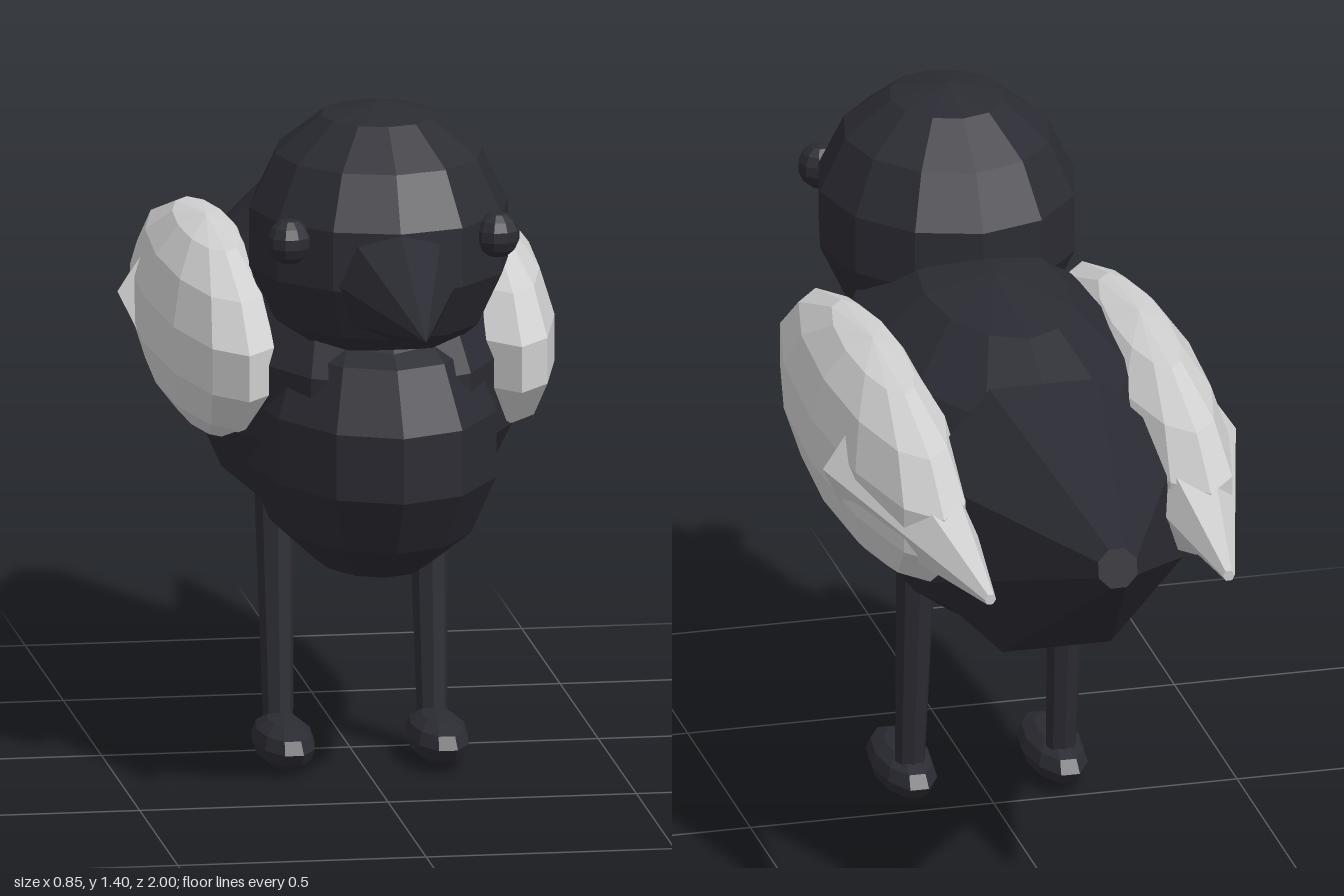
import * as THREE from 'three';

export function createModel() {
  const bird = new THREE.Group();
  bird.name = 'bird';

  const charcoal = new THREE.MeshStandardMaterial({ color: 0x2b2b33, flatShading: true });
  charcoal.name = 'charcoal';
  const paleGrey = new THREE.MeshStandardMaterial({ color: 0xd0d0d0, flatShading: true });
  paleGrey.name = 'paleGrey';

  const add = (name, geometry, material) => {
    const mesh = new THREE.Mesh(geometry, material);
    mesh.name = name;
    bird.add(mesh);
    return mesh;
  };

  // faceted ellipsoid
  const ellipsoid = (name, material, centre, radii, around = 12, rings = 7) => {
    const geometry = new THREE.SphereGeometry(1, around, rings).scale(...radii);
    return add(name, geometry.translate(...centre), material);
  };

  // tapered prism running from point a to point b; spin turns its sides about the axis
  const taper = (name, material, a, b, ra, rb, sides, spin = 0) => {
    const from = new THREE.Vector3(...a);
    const to = new THREE.Vector3(...b);
    const length = from.distanceTo(to);
    const geometry = new THREE.CylinderGeometry(rb, ra, length, sides).rotateY(spin);
    geometry.translate(0, length / 2, 0);
    const mesh = add(name, geometry, material);
    const axis = to.sub(from).normalize();
    mesh.quaternion.setFromUnitVectors(new THREE.Vector3(0, 1, 0), axis);
    mesh.position.copy(from);
    return mesh;
  };

  // body, breast and head
  ellipsoid('body', charcoal, [0, 0.8, 0], [0.33, 0.35, 0.64]);
  ellipsoid('breast', charcoal, [0, 0.72, 0.27], [0.26, 0.3, 0.45]);
  ellipsoid('head', charcoal, [0, 1.135, 0.375], [0.267, 0.27, 0.3]);

  // beak and tail
  taper('beak', charcoal, [0, 1.09, 0.58], [0, 1.05, 1], 0.135, 0, 8);
  taper('tail', charcoal, [0, 0.805, -0.45], [0, 0.91, -0.99], 0.29, 0.043, 8, Math.PI / 8);

  for (const [side, s] of [['left', 1], ['right', -1]]) {
    ellipsoid(side + 'Eye', charcoal, [s * 0.21, 1.167, 0.57], [0.045, 0.047, 0.045], 10, 7);

    // wing with its long tip feather
    ellipsoid(side + 'Wing', paleGrey, [s * 0.274, 0.865, -0.1], [0.13, 0.21, 0.585]);
    taper(side + 'WingTip', paleGrey, [s * 0.285, 0.872, -0.275], [s * 0.245, 0.842, -0.925],
      0.14, 0.012, 6, Math.PI / 6);

    // leg and foot
    taper(side + 'Leg', charcoal, [s * 0.155, 0.05, 0.07], [s * 0.155, 0.62, 0.01], 0.03, 0.042, 8);
    ellipsoid(side + 'Foot', charcoal, [s * 0.155, 0.05, 0.135], [0.062, 0.05, 0.155], 10, 6);
  }

  return bird;
}
